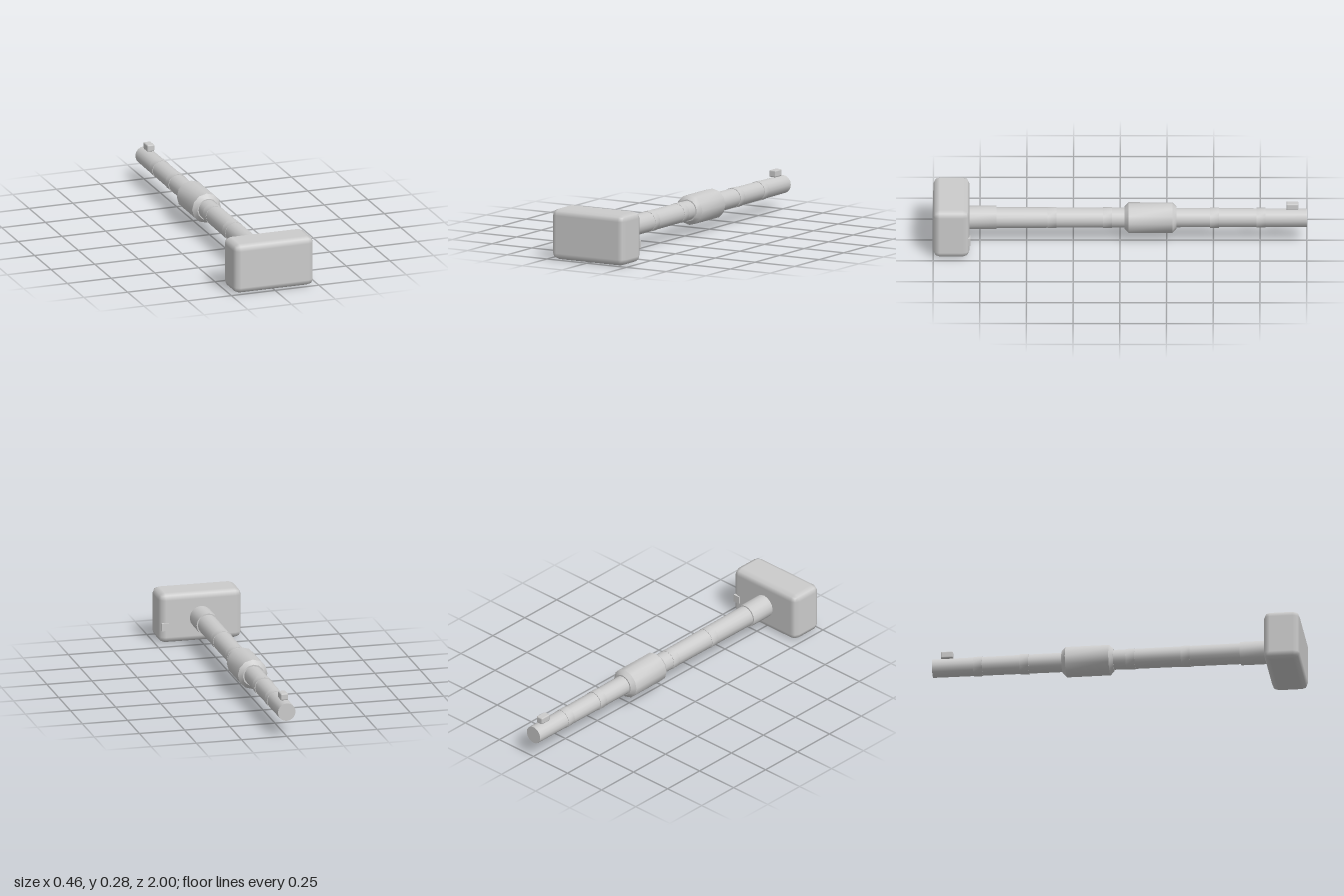
import * as THREE from 'three';
import { RoundedBoxGeometry } from 'three/addons/geometries/RoundedBoxGeometry.js';
import { toCreasedNormals } from 'three/addons/utils/BufferGeometryUtils.js';

const AXIS_Y = 0.135;

export function createModel() {
  const model = new THREE.Group();
  const material = new THREE.MeshStandardMaterial({ color: 0xcccccc });

  function add(name, geometry, x, y, z) {
    const mesh = new THREE.Mesh(geometry, material);
    mesh.name = name;
    mesh.position.set(x, y, z);
    model.add(mesh);
    return mesh;
  }

  // Round part along z, given as [radius, z] pairs from back to front
  function addTurned(name, profile, sides) {
    const points = profile.map(([r, z]) => new THREE.Vector2(r, z));
    const geometry = toCreasedNormals(new THREE.LatheGeometry(points, sides), 0.6);
    geometry.rotateX(Math.PI / 2);
    add(name, geometry, 0, AXIS_Y, 0);
  }

  // Block head with softened edges
  add('head', new RoundedBoxGeometry(0.456, 0.275, 0.194, 1, 0.035), 0, 0.1375, 0.903);

  // Small plate on the back of the head, near its left edge
  add('headPlate', new THREE.BoxGeometry(0.04, 0.042, 0.014), 0.198, 0.095, 0.806);

  // Slightly tapered handle
  addTurned('handle', [[0, -1], [0.049, -1], [0.057, 0.82], [0, 0.82]], 16);

  // Socket joining handle and head
  addTurned('socket', [[0, 0.66], [0.063, 0.66], [0.063, 0.83], [0, 0.83]], 16);

  // Chamfered grip around the middle
  addTurned('grip', [
    [0, -0.302], [0.06, -0.302], [0.082, -0.28],
    [0.082, -0.046], [0.06, -0.024], [0, -0.024],
  ], 12);

  // Thin bands along the handle
  for (const [z, r] of [[0.365, 0.0575], [0.067, 0.056], [-0.505, 0.055], [-0.755, 0.053]]) {
    addTurned('band', [[0, z - 0.024], [r, z - 0.024], [r, z + 0.024], [0, z + 0.024]], 12);
  }

  // Button near the back end
  add('button', new RoundedBoxGeometry(0.042, 0.038, 0.066, 1, 0.007), 0, 0.206, -0.923);

  return model;
}
